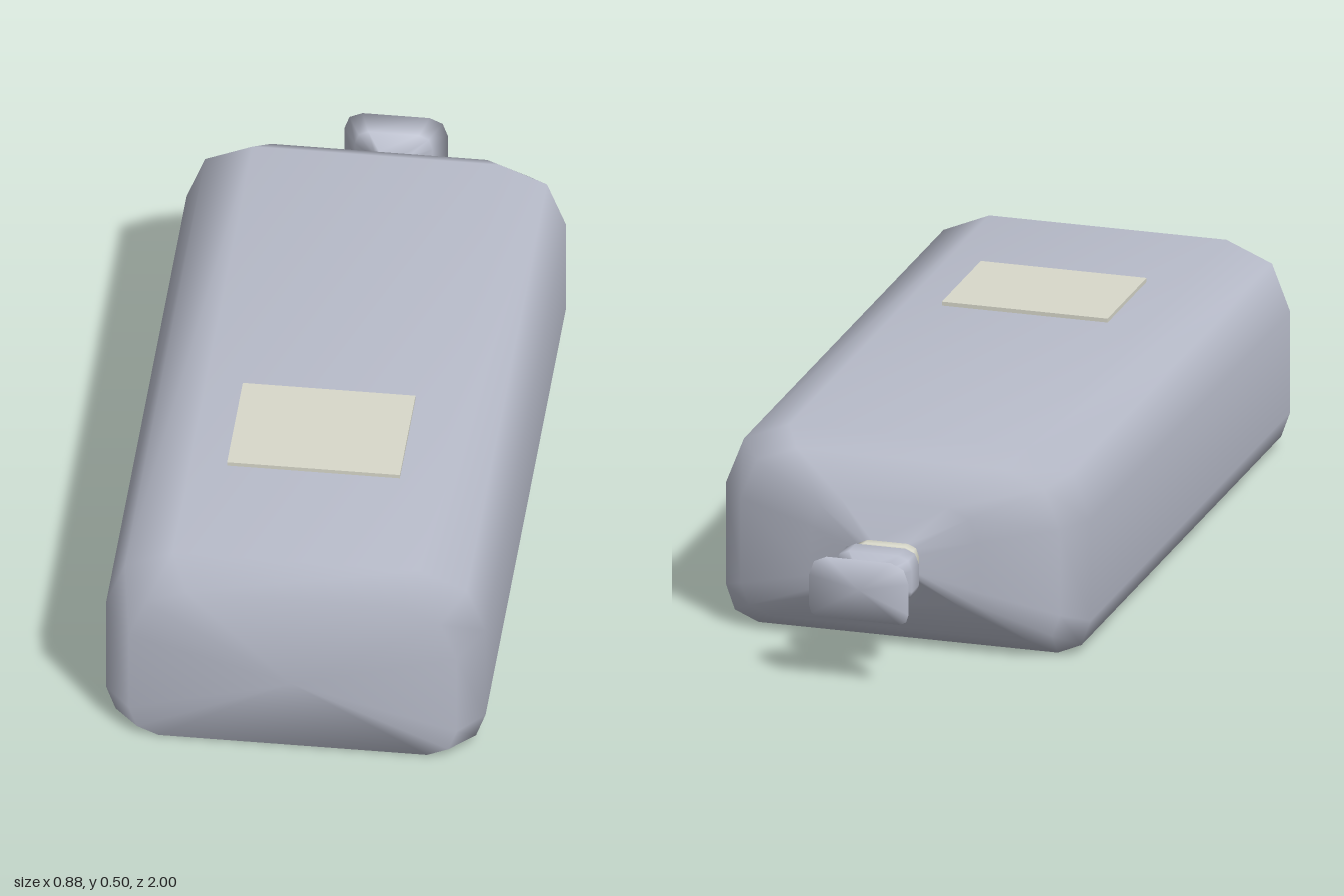
import * as THREE from 'three';

// Rounded-rectangle outline, counter-clockwise seen from the front; x and y run -1..1
const half = [[0.82, -1], [0.95, -0.9], [1, -0.65], [1, 0.35], [0.9, 0.81], [0.65, 1]];
const outline = [...half, ...half.slice().reverse().map(([x, y]) => [-x, y])];
const AXIS = 0.24; // height of the neck axis

// Smooth skin over sections [z, halfWidth, yLow, yHigh], ordered front to back and closed by two centre points
function loft(sections, frontTip, backTip) {
  const n = outline.length;
  const position = [];
  const index = [];
  for (const [z, w, low, high] of sections) {
    for (const [x, y] of outline) position.push(x * w, low + (high - low) * (y + 1) / 2, z);
  }
  const last = (sections.length - 1) * n;
  const front = sections.length * n;
  position.push(0, ...frontTip, 0, ...backTip);
  for (let j = 0; j < n; j++) {
    const k = (j + 1) % n;
    for (let i = 0; i < last; i += n) {
      index.push(i + j, i + n + j, i + k, i + k, i + n + j, i + n + k);
    }
    index.push(front, j, k, front + 1, last + k, last + j);
  }
  const geometry = new THREE.BufferGeometry();
  geometry.setAttribute('position', new THREE.Float32BufferAttribute(position, 3));
  geometry.setIndex(index);
  geometry.computeVertexNormals();
  return geometry;
}

// Turned-looking piece centred on the neck axis, from [z, halfWidth, halfHeight]
function neckPiece(profile) {
  const sections = profile.map(([z, w, h]) => [z, w, AXIS - h, AXIS + h]);
  return loft(sections, [AXIS, profile[0][0]], [AXIS, profile[profile.length - 1][0]]);
}

export function createModel() {
  const model = new THREE.Group();
  const glass = new THREE.MeshStandardMaterial({ name: 'blueGrey', color: 0xb8bcca });
  const cream = new THREE.MeshStandardMaterial({ name: 'cream', color: 0xd9d9cb });

  const add = (name, geometry, material) => {
    const mesh = new THREE.Mesh(geometry, material);
    mesh.name = name;
    model.add(mesh);
    return mesh;
  };

  // Flask lying on its back: shallow pointed base, straight sides, sloping shoulders
  add('flaskBody', loft([
    [0.975, 0.38, 0.003, 0.425],
    [0.915, 0.44, 0, 0.49],
    [-0.62, 0.44, 0, 0.49],
    [-0.68, 0.385, 0.04, 0.455],
    [-0.73, 0.2, 0.125, 0.365],
    [-0.765, 0.06, 0.2, 0.275],
    [-0.785, 0.06, 0.205, 0.27],
  ], [0.2, 1], [AXIS, -0.785]), glass);

  // Bevelled ring round the neck
  add('neckRing', neckPiece([
    [-0.77, 0.065, 0.037],
    [-0.776, 0.075, 0.044],
    [-0.8, 0.075, 0.044],
    [-0.806, 0.065, 0.037],
  ]), cream);

  // Stopper with a waist and a flared end
  add('stopper', neckPiece([
    [-0.79, 0.06, 0.034],
    [-0.812, 0.065, 0.037],
    [-0.832, 0.092, 0.052],
    [-0.885, 0.092, 0.052],
    [-0.922, 0.045, 0.026],
    [-0.955, 0.09, 0.056],
    [-1, 0.12, 0.074],
  ]), glass);

  // Thin label plate on the upper face
  add('label', new THREE.BoxGeometry(0.4, 0.0095, 0.3), cream).position.set(0, 0.4955, 0.426);

  return model;
}
